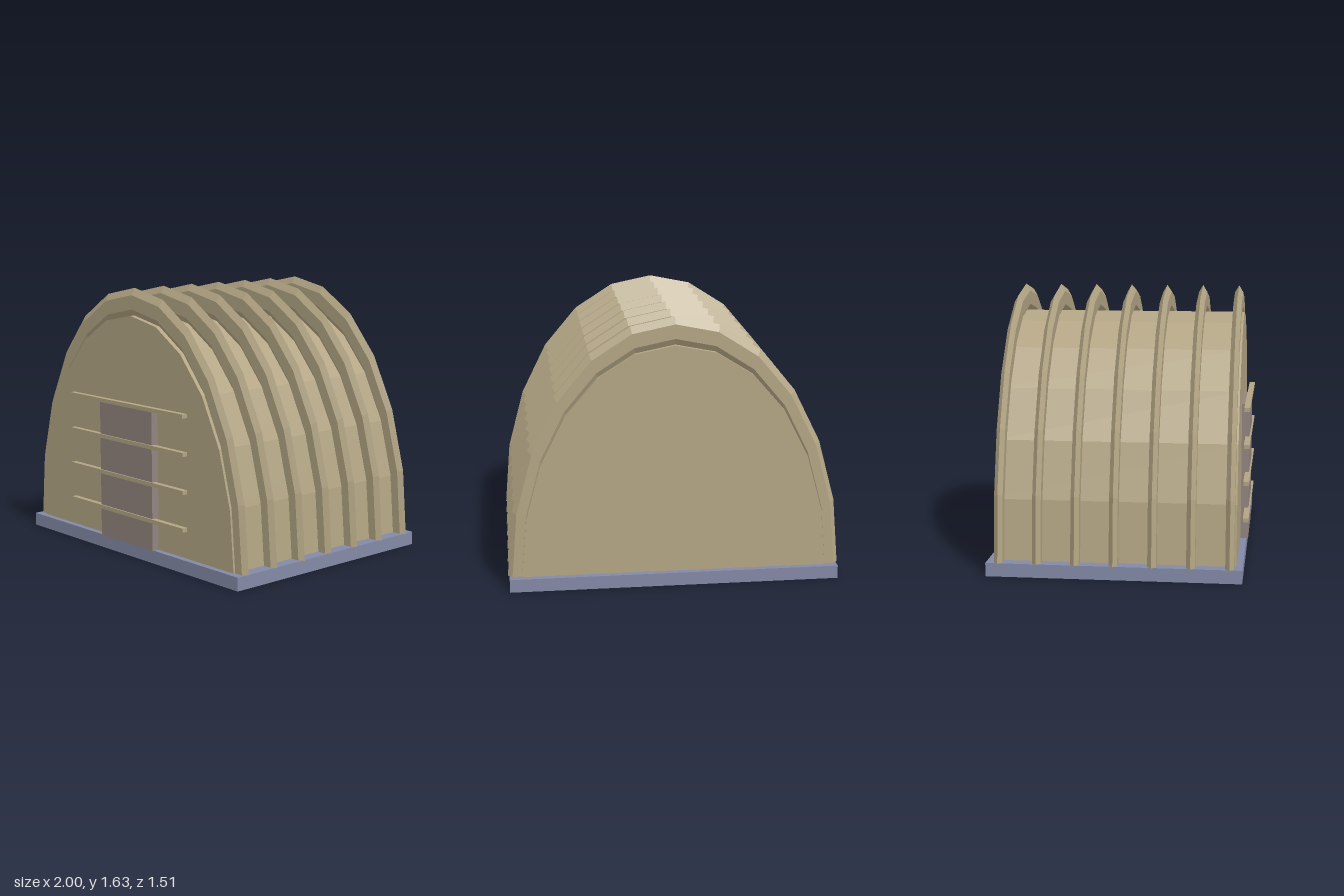
import * as THREE from 'three';

export function createModel() {
  const group = new THREE.Group();
  const paint = (name, color) => {
    const m = new THREE.MeshStandardMaterial({ color, flatShading: true });
    m.name = name;
    return m;
  };
  const tan = paint('tan', 0xb3a584);
  const slate = paint('slate blue', 0x838aa6);
  const brown = paint('door brown', 0x938580);

  const add = (name, geometry, material) => {
    const mesh = new THREE.Mesh(geometry, material);
    mesh.name = name;
    group.add(mesh);
    return mesh;
  };
  // Box given by its limits on each axis
  const box = (name, material, [x0, x1], [y0, y1], [z0, z1]) =>
    add(name, new THREE.BoxGeometry(x1 - x0, y1 - y0, z1 - z0), material)
      .position.set((x0 + x1) / 2, (y0 + y1) / 2, (z0 + z1) / 2);

  const floorY = 0.08;
  const segments = 12;

  // Foundation slab
  box('foundation', slate, [-0.99, 0.99], [0, floorY], [-0.754, 0.735]);

  // Vaulted hall with both end walls: an extruded half ellipse
  const arch = [];
  for (let i = 0; i <= segments; i++) {
    const a = (i / segments) * Math.PI;
    arch.push(new THREE.Vector2(0.915 * Math.cos(a), 1.385 * Math.sin(a)));
  }
  const hall = new THREE.ExtrudeGeometry(new THREE.Shape(arch), { depth: 1.414, bevelEnabled: false });
  add('hall', hall, tan).position.set(0, floorY, -0.716);

  // Seven six-sided ribs, stretched upwards and flattened along z
  const rib = new THREE.TorusGeometry(0.945, 0.055, 6, segments, Math.PI).scale(1, 1.55, 0.53);
  for (let i = 0; i < 7; i++) {
    add('rib', rib, tan).position.set(0, floorY, 0.662 - i * 0.2238);
  }

  // Door and the bars across it
  box('door', brown, [-0.25, 0.25], [floorY, 0.922], [0.69, 0.745]);
  for (let i = 0; i < 4; i++) {
    const y = 0.264 + i * 0.2235;
    box('doorBar', tan, [-0.545, 0.54], [y - 0.012, y + 0.012], [0.72, 0.754]);
  }

  return group;
}
